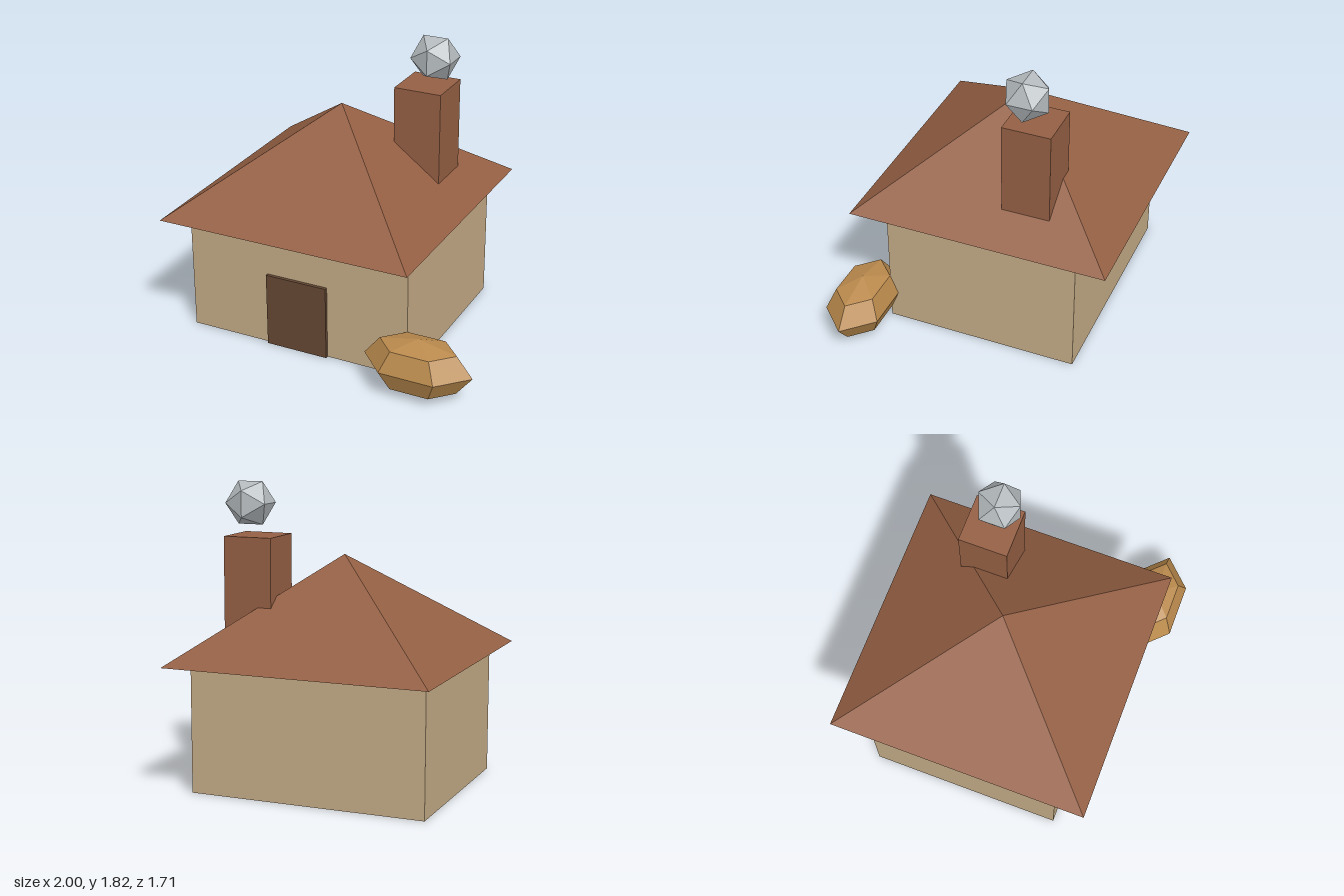
import * as THREE from 'three';

const material = (name, color) => {
  const m = new THREE.MeshStandardMaterial({ color, flatShading: true });
  m.name = name;
  return m;
};

export function createModel() {
  const house = new THREE.Group();
  house.name = 'house';

  const tan = material('tan plaster', 0xc2a984);
  const brick = material('red brown', 0x945f43);
  const wood = material('dark wood', 0x644733);
  const ochre = material('ochre', 0xb9894c);
  const grey = material('grey', 0xb4babd);

  const add = (name, geometry, mat, x, y, z) => {
    const mesh = new THREE.Mesh(geometry, mat);
    mesh.name = name;
    mesh.position.set(x, y, z);
    house.add(mesh);
    return mesh;
  };

  // Walls and door
  add('walls', new THREE.BoxGeometry(1.45, 0.79, 1.205), tan, -0.19, 0.395, -0.043);
  add('door', new THREE.BoxGeometry(0.4, 0.47, 0.04), wood, -0.19, 0.235, 0.56);

  // Four-sided roof with overhanging eaves, turned square to the walls
  const roof = new THREE.ConeGeometry(1.62 / Math.SQRT2, 0.605, 4).rotateY(Math.PI / 4);
  add('roof', roof, brick, -0.19, 1.0875, -0.045);

  // Chimney, sunk into the roof, with a puff of smoke above
  add('chimney', new THREE.BoxGeometry(0.3, 0.6, 0.3), brick, 0.265, 1.21, -0.285);
  add('smoke', new THREE.IcosahedronGeometry(0.15, 0), grey, 0.325, 1.695, -0.257);

  // Faceted bush beside the front corner
  const bush = new THREE.SphereGeometry(1, 6, 4).scale(0.34, 0.175, 0.2);
  add('bush', bush, ochre, 0.657, 0.184, 0.682);

  return house;
}
